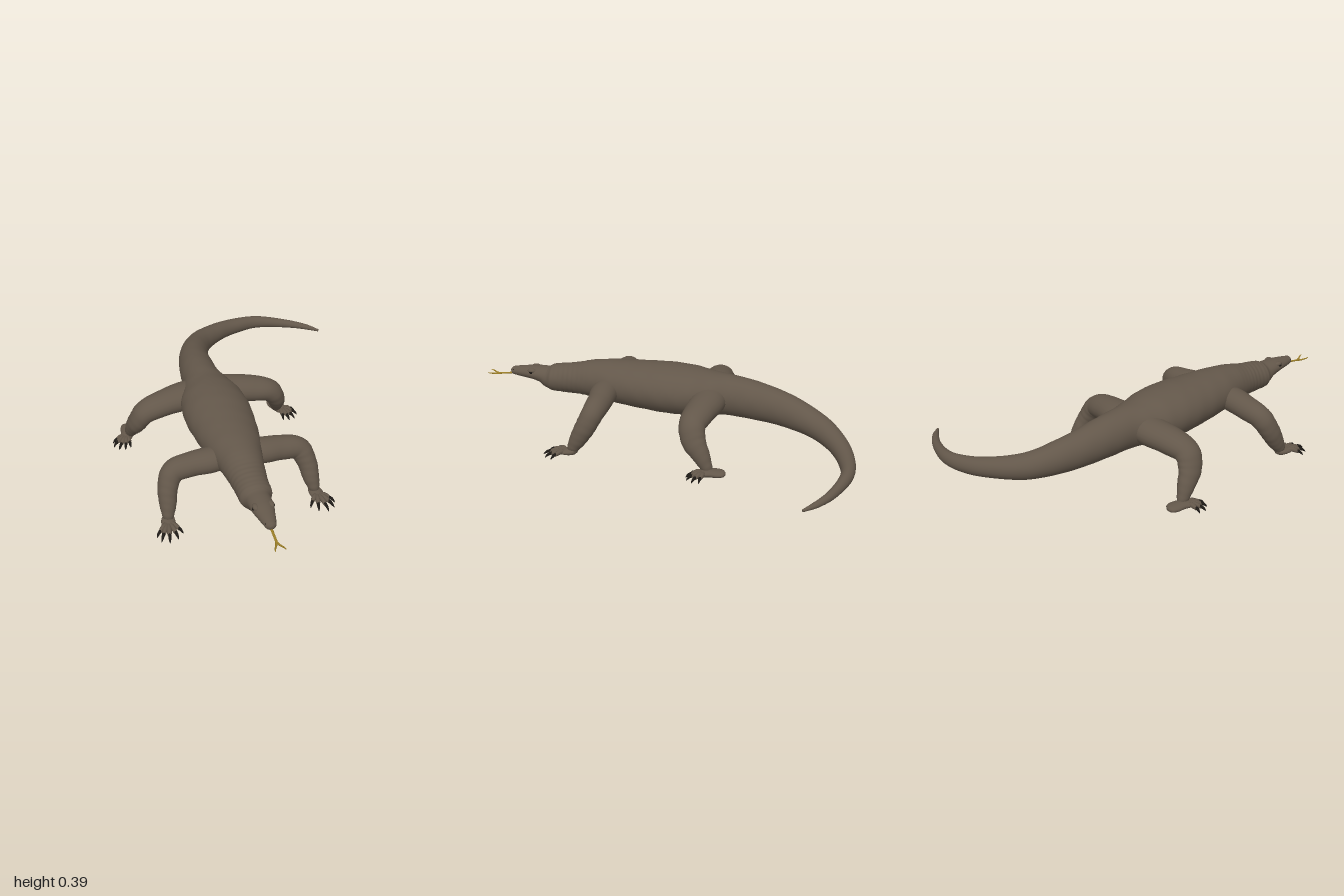
import * as THREE from 'three';

const hide = new THREE.MeshStandardMaterial({ color: 0x63574a });
hide.name = 'brown hide';
const claw = new THREE.MeshStandardMaterial({ color: 0x1e1a16 });
claw.name = 'dark claw';
const yellow = new THREE.MeshStandardMaterial({ color: 0x9a7d26 });
yellow.name = 'yellow tongue';

const MID = -0.16; // x of the body's middle line
const UP = new THREE.Vector3(0, 1, 0);
const FWD = new THREE.Vector3(0, 0, 1);

// Smooth skin over sections [x, y, z, radiusA, radiusB]; ref sets the direction of radiusB
function loft(name, sections, ref, material, rings, sides, bump = () => 1) {
  const path = new THREE.CatmullRomCurve3(sections.map(s => new THREE.Vector3(s[0], s[1], s[2])));
  const size = new THREE.CatmullRomCurve3(
    sections.map(s => new THREE.Vector3(s[3], s[4], 0)), false, 'catmullrom', 0.4);
  const pos = [], index = [];
  for (let i = 0; i <= rings; i++) {
    const p = path.getPoint(i / rings), t = path.getTangent(i / rings), r = size.getPoint(i / rings);
    const a = new THREE.Vector3().crossVectors(ref, t).normalize();
    const b = new THREE.Vector3().crossVectors(t, a);
    for (let j = 0; j < sides; j++) {
      const w = j / sides * Math.PI * 2, k = bump(p, w);
      const v = p.clone().addScaledVector(a, Math.cos(w) * r.x * k).addScaledVector(b, Math.sin(w) * r.y * k);
      pos.push(v.x, v.y, v.z);
      if (i === rings) continue;
      const n = (j + 1) % sides, q = i * sides;
      index.push(q + j, q + n, q + sides + j, q + n, q + sides + n, q + sides + j);
    }
  }
  // end caps
  const first = path.getPoint(0), last = path.getPoint(1), c = pos.length / 3, e = rings * sides;
  pos.push(first.x, first.y, first.z, last.x, last.y, last.z);
  for (let j = 0; j < sides; j++) {
    const n = (j + 1) % sides;
    index.push(c, n, j, c + 1, e + j, e + n);
  }
  const g = new THREE.BufferGeometry();
  g.setAttribute('position', new THREE.Float32BufferAttribute(pos, 3));
  g.setIndex(index);
  g.computeVertexNormals();
  const mesh = new THREE.Mesh(g, material);
  mesh.name = name;
  return mesh;
}

function ball(name, x, y, z, rx, ry, rz, material) {
  const mesh = new THREE.Mesh(new THREE.SphereGeometry(1, 16, 12), material);
  mesh.position.set(x, y, z);
  mesh.scale.set(rx, ry, rz);
  mesh.name = name;
  return mesh;
}

// Snout to tail tip
const BODY = [
  [MID, 0.27, 0.872, 0.008, 0.008], [MID, 0.27, 0.86, 0.024, 0.02],
  [MID, 0.271, 0.80, 0.039, 0.029], [MID, 0.272, 0.74, 0.052, 0.036],
  [MID, 0.266, 0.69, 0.057, 0.045], [MID, 0.258, 0.66, 0.062, 0.06],
  [MID, 0.256, 0.63, 0.078, 0.07], [MID, 0.26, 0.57, 0.08, 0.076],
  [MID, 0.266, 0.5, 0.088, 0.082], [MID, 0.275, 0.4, 0.105, 0.097],
  [MID, 0.275, 0.3, 0.13, 0.108], [MID, 0.272, 0.15, 0.152, 0.118],
  [MID, 0.27, 0, 0.166, 0.125], [MID, 0.268, -0.12, 0.158, 0.121],
  [MID, 0.266, -0.22, 0.13, 0.109], [MID, 0.264, -0.31, 0.1, 0.104],
  [-0.155, 0.254, -0.42, 0.092, 0.099], [-0.13, 0.228, -0.6, 0.077, 0.085],
  [-0.05, 0.193, -0.78, 0.064, 0.064], [0.08, 0.172, -0.892, 0.05, 0.05],
  [0.2, 0.157, -0.948, 0.041, 0.042], [0.33, 0.147, -0.97, 0.031, 0.034],
  [0.5, 0.132, -0.925, 0.022, 0.023], [0.6, 0.125, -0.87, 0.016, 0.015],
  [0.66, 0.12, -0.82, 0.006, 0.007],
];

// Leg sections, x measured outward from the middle line
const LEGS = {
  front: {
    leg: [
      [0.03, 0.26, 0.31, 0.055, 0.06], [0.13, 0.255, 0.315, 0.06, 0.07],
      [0.22, 0.246, 0.31, 0.058, 0.063], [0.31, 0.225, 0.315, 0.056, 0.056],
      [0.345, 0.16, 0.345, 0.048, 0.052], [0.355, 0.095, 0.38, 0.041, 0.044],
      [0.362, 0.05, 0.405, 0.03, 0.032], [0.365, 0.025, 0.415, 0.02, 0.022],
    ],
    foot: [
      [0.362, 0.028, 0.385, 0.01, 0.008], [0.363, 0.028, 0.40, 0.028, 0.018],
      [0.368, 0.025, 0.43, 0.034, 0.017], [0.372, 0.024, 0.465, 0.03, 0.013],
      [0.374, 0.024, 0.48, 0.008, 0.005],
    ],
    palm: [0.368, 0.435],
    tips: [[0.44, 0.5], [0.425, 0.535], [0.39, 0.555], [0.345, 0.54], [0.315, 0.505]],
  },
  hind: {
    leg: [
      [0.03, 0.262, -0.22, 0.07, 0.09], [0.12, 0.258, -0.22, 0.068, 0.088],
      [0.23, 0.248, -0.205, 0.062, 0.077], [0.325, 0.222, -0.195, 0.056, 0.066],
      [0.365, 0.16, -0.215, 0.047, 0.06], [0.383, 0.1, -0.255, 0.04, 0.045],
      [0.394, 0.05, -0.285, 0.029, 0.031], [0.397, 0.025, -0.3, 0.02, 0.022],
    ],
    foot: [
      [0.396, 0.024, -0.382, 0.01, 0.006], [0.398, 0.024, -0.37, 0.03, 0.014],
      [0.4, 0.024, -0.34, 0.038, 0.018], [0.41, 0.026, -0.3, 0.033, 0.018],
      [0.425, 0.025, -0.265, 0.03, 0.014], [0.432, 0.024, -0.25, 0.008, 0.005],
    ],
    palm: [0.415, -0.285],
    tips: [[0.492, -0.27], [0.495, -0.235], [0.472, -0.205], [0.442, -0.195], [0.412, -0.208]],
  },
};

function buildLeg(kind, side) {
  const { leg, foot, palm, tips } = LEGS[kind];
  const place = list => list.map(([x, ...rest]) => [MID + side * x, ...rest]);
  const group = new THREE.Group();
  group.name = kind + (side > 0 ? 'LeftLeg' : 'RightLeg');
  // soft skin folds down the limb
  const folds = (p, w) => 1 + 0.012 * Math.sin(p.y * 190 + Math.sin(w * 2));
  group.add(loft('limb', place(leg), FWD, hide, 56, 22, folds));
  group.add(loft('foot', place(foot), UP, hide, 18, 16));
  tips.forEach(([tx, tz]) => {
    const at = (f, y, r) => [palm[0] + (tx - palm[0]) * f, y, palm[1] + (tz - palm[1]) * f, r, r];
    group.add(loft('toe', place([
      at(0.05, 0.024, 0.012), at(0.4, 0.03, 0.012), at(0.62, 0.024, 0.011), at(0.76, 0.016, 0.006),
    ]), UP, hide, 9, 8));
    group.add(loft('claw', place([
      at(0.62, 0.026, 0.007), at(0.8, 0.02, 0.0075), at(0.92, 0.011, 0.005), at(1, 0.002, 0.001),
    ]), UP, claw, 7, 7));
  });
  return group;
}

export function createModel() {
  const model = new THREE.Group();
  model.name = 'lizard';

  // neck folds and a faintly uneven hide
  const skin = (p, w) => {
    const neck = Math.exp(-(((p.z - 0.53) / 0.1) ** 2));
    return 1 + 0.014 * neck * Math.sin(p.z * 230 + Math.sin(w * 3))
      + 0.005 * Math.sin(p.z * 60 + w * 2) * Math.sin(w * 5 + p.x * 20);
  };
  model.add(loft('bodyAndTail', BODY, UP, hide, 260, 40, skin));

  for (const side of [1, -1]) {
    model.add(buildLeg('front', side), buildLeg('hind', side));
    model.add(ball('brow', MID + side * 0.036, 0.292, 0.742, 0.015, 0.012, 0.024, hide));
    model.add(ball('eye', MID + side * 0.046, 0.285, 0.744, 0.007, 0.008, 0.01, claw));
    model.add(ball('nostril', MID + side * 0.02, 0.279, 0.85, 0.005, 0.004, 0.005, claw));
    // tongue fork
    model.add(loft('tongueFork', [
      [MID, 0.242, 0.93, 0.005, 0.004], [MID + side * 0.008, 0.241, 0.955, 0.005, 0.004],
      [MID + side * 0.022, 0.246, 0.985, 0.003, 0.003], [MID + side * 0.024, 0.248, 0.998, 0.001, 0.001],
    ], UP, yellow, 10, 8));
  }
  model.add(loft('tongue', [
    [MID, 0.258, 0.84, 0.007, 0.004], [MID, 0.25, 0.89, 0.006, 0.004], [MID, 0.242, 0.94, 0.006, 0.004],
  ], UP, yellow, 8, 8));
  return model;
}
